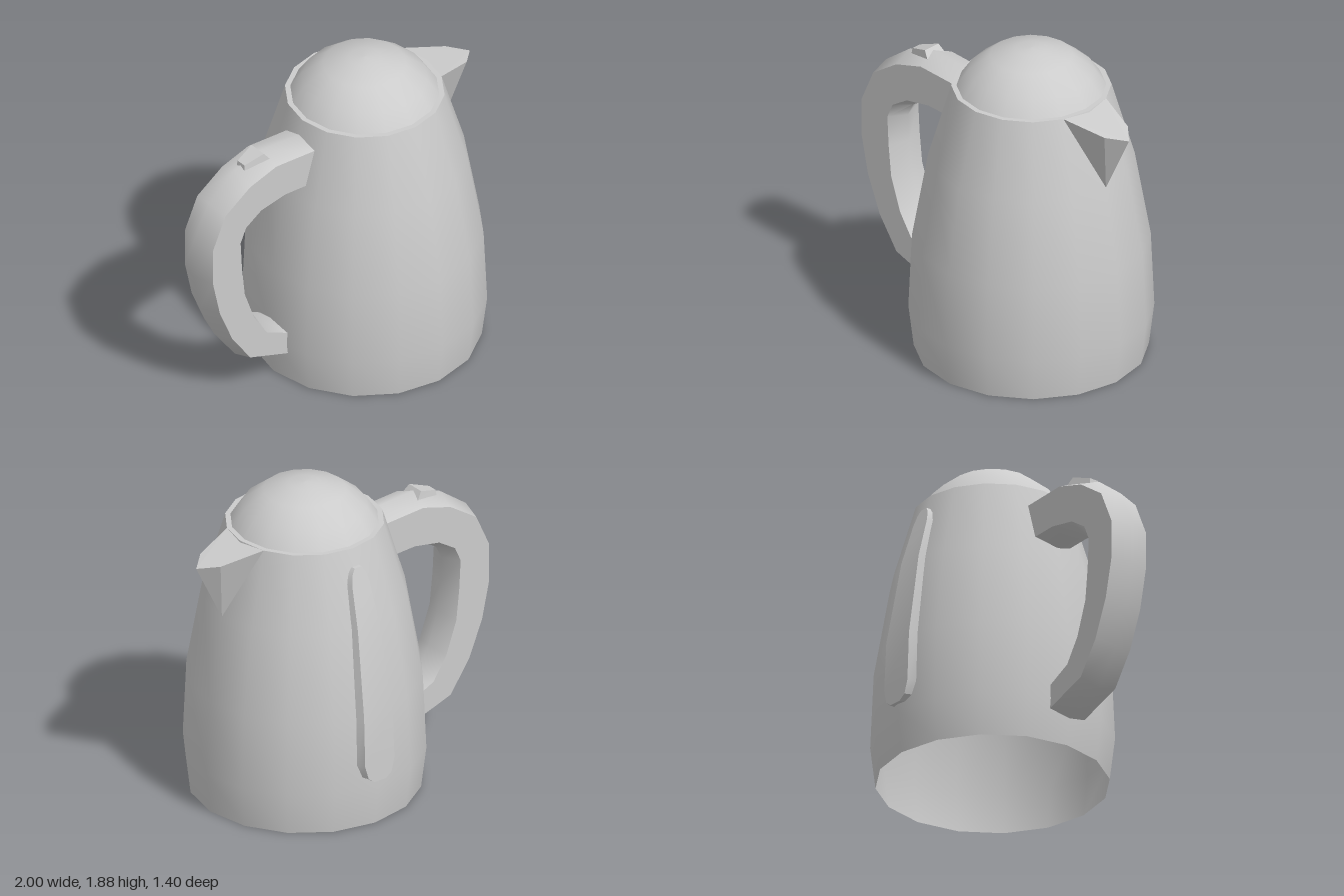
import * as THREE from 'three';
import { toCreasedNormals } from 'three/addons/utils/BufferGeometryUtils.js';
import { ConvexGeometry } from 'three/addons/geometries/ConvexGeometry.js';

const CX = 0.24; // body axis
const SIDES = 16;
const BODY = [[0.66, 0], [0.69, 0.25], [0.67, 0.7], [0.58, 1.21], [0.45, 1.65]];
const material = new THREE.MeshStandardMaterial({ color: 0xcccccc, side: THREE.DoubleSide });

function part(name, geometry) {
  const mesh = new THREE.Mesh(geometry, material);
  mesh.name = name;
  return mesh;
}

function lathe(name, profile) {
  const points = profile.map(([r, y]) => new THREE.Vector2(r, y));
  const mesh = part(name, new THREE.LatheGeometry(points, SIDES));
  mesh.position.x = CX;
  return mesh;
}

// Skin a list of equal-length rings and close both ends
function loft(rings, crease) {
  const n = rings[0].length;
  const index = [];
  for (let i = 0; i < rings.length - 1; i++) {
    for (let j = 0; j < n; j++) {
      const a = i * n + j, b = i * n + (j + 1) % n;
      index.push(a, b, b + n, a, b + n, a + n);
    }
  }
  const last = (rings.length - 1) * n;
  for (let j = 1; j < n - 1; j++) {
    index.push(0, j + 1, j, last, last + j, last + j + 1);
  }
  const geometry = new THREE.BufferGeometry();
  geometry.setAttribute('position', new THREE.Float32BufferAttribute(rings.flat(2), 3));
  geometry.setIndex(index);
  return toCreasedNormals(geometry, crease);
}

// Body radius at a height
function radiusAt(y) {
  const i = Math.max(1, BODY.findIndex((p) => p[1] >= y));
  const [r0, y0] = BODY[i - 1], [r1, y1] = BODY[i];
  return r0 + (r1 - r0) * (y - y0) / (y1 - y0);
}

// Six-sided handle: outer ridge, outer edge, inner edge, inner ridge (x, y each)
function handle() {
  const stations = [
    [-0.22, 1.56, -0.22, 1.515, -0.27, 1.30, -0.27, 1.25],
    [-0.52, 1.585, -0.50, 1.535, -0.44, 1.31, -0.42, 1.27],
    [-0.70, 1.53, -0.69, 1.48, -0.61, 1.28, -0.58, 1.24],
    [-0.89, 1.39, -0.87, 1.36, -0.72, 1.21, -0.68, 1.18],
    [-1.00, 1.17, -0.96, 1.16, -0.76, 1.12, -0.72, 1.10],
    [-1.00, 0.93, -0.96, 0.93, -0.75, 0.94, -0.71, 0.94],
    [-0.95, 0.69, -0.91, 0.70, -0.73, 0.75, -0.69, 0.77],
    [-0.85, 0.46, -0.82, 0.48, -0.66, 0.55, -0.63, 0.57],
    [-0.70, 0.25, -0.69, 0.29, -0.57, 0.41, -0.55, 0.43],
    [-0.41, 0.15, -0.41, 0.19, -0.41, 0.33, -0.41, 0.365],
  ];
  const w = 0.125;
  return loft(stations.map(([ax, ay, bx, by, cx, cy, dx, dy]) => [
    [ax, ay, 0], [bx, by, -w], [cx, cy, -w], [dx, dy, 0], [cx, cy, w], [bx, by, w],
  ]), 0.9);
}

// Long water gauge that follows the back of the body: height, half width
function gauge() {
  const stations = [
    [0.29, 0.05], [0.32, 0.1], [0.4, 0.128], [0.7, 0.125], [1.21, 0.095],
    [1.46, 0.075], [1.52, 0.055], [1.55, 0.03],
  ];
  return loft(stations.map(([y, w]) => {
    const r = radiusAt(y);
    const inner = -(r - 0.03), outer = -(r + 0.02);
    return [[CX + w, y, inner], [CX + w * 0.8, y, outer], [CX - w * 0.8, y, outer], [CX - w, y, inner]];
  }), 0.5);
}

// Tapered thumb switch
function lidSwitch() {
  const ring = (xl, yl, zl, xr, yr, zr) => [[xl, yl, zl], [xr, yr, zr], [xr, yr, -zr], [xl, yl, -zl]];
  return loft([
    ring(-0.66, 1.52, 0.035, -0.5, 1.555, 0.07),
    ring(-0.655, 1.56, 0.03, -0.535, 1.6, 0.055),
  ], 0.3);
}

// Pointed spout growing out of the rim
function spout() {
  const points = [[1, 1.57, 0], [0.82, 1.21, 0]];
  for (const s of [1, -1]) points.push([0.656, 1.65, 0.172 * s], [0.9, 1.592, 0.095 * s]);
  return new ConvexGeometry(points.map((p) => new THREE.Vector3(...p)));
}

export function createModel() {
  const group = new THREE.Group();
  group.name = 'kettle';
  group.add(
    lathe('body', BODY),
    lathe('rim', [[0.45, 1.65], [0.41, 1.65]]),
    lathe('lid', [[0.42, 1.65], [0.355, 1.745], [0.235, 1.84], [0.09, 1.88], [0, 1.885]]),
    part('spout', spout()),
    part('handle', handle()),
    part('lidSwitch', lidSwitch()),
    part('waterGauge', gauge()),
  );
  return group;
}
